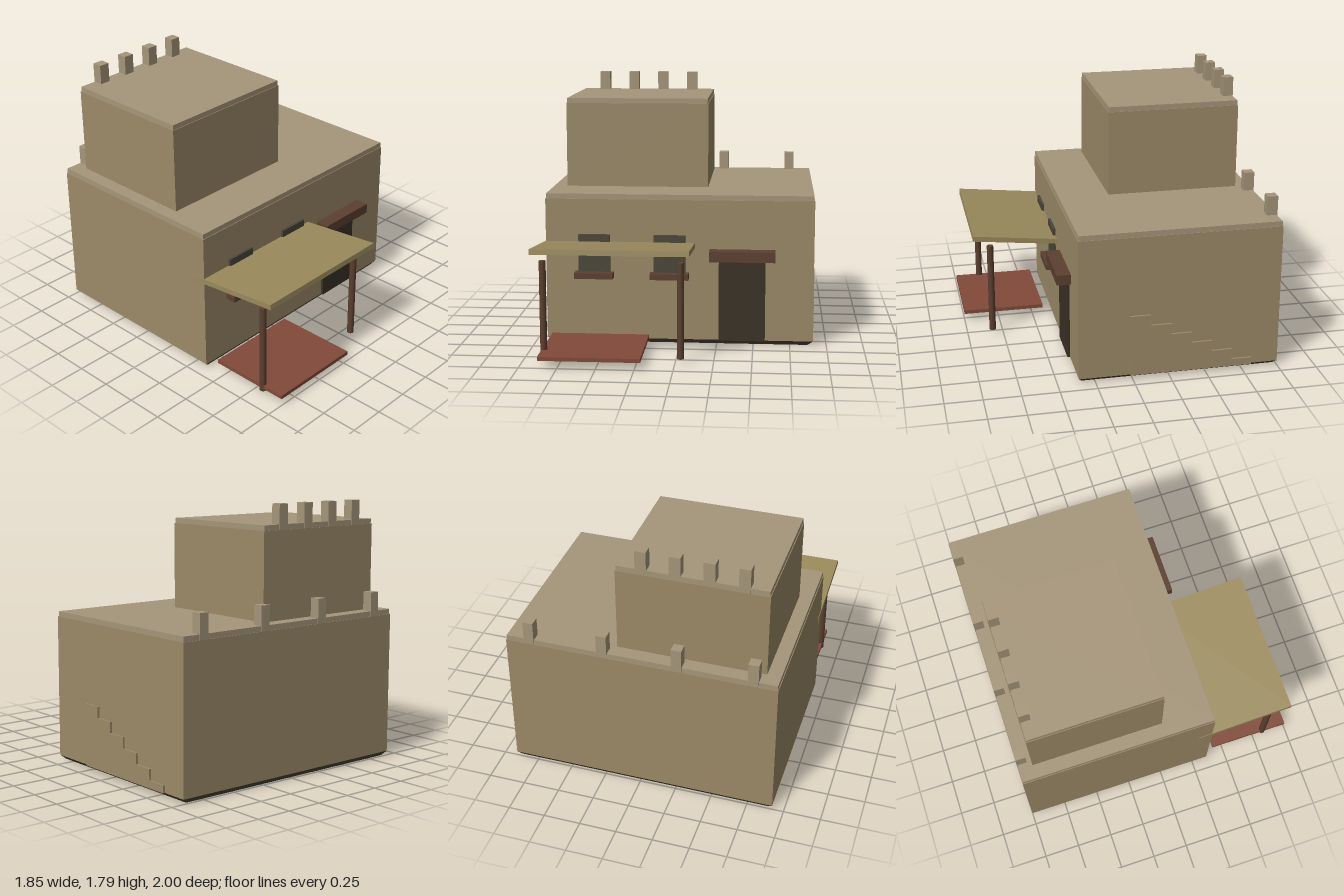
import * as THREE from 'three';

const mat = (color) => new THREE.MeshStandardMaterial({ color });

export function createModel() {
  const house = new THREE.Group();
  house.name = 'house';

  const plaster = mat(0x9c8a68), trim = mat(0xa6967a), thatch = mat(0x9a8a5c);
  const wood = mat(0x5c4030), doorWood = mat(0x3b3226), glass = mat(0x4b4638);
  const clay = mat(0x824a3a), stone = mat(0x4b4434);

  const add = (name, geometry, material, x, y, z) => {
    const mesh = new THREE.Mesh(geometry, material);
    mesh.name = name;
    mesh.position.set(x, y, z);
    house.add(mesh);
    return mesh;
  };
  // box given by its extents along each axis
  const box = (name, material, [x0, x1], [y0, y1], [z0, z1]) =>
    add(name, new THREE.BoxGeometry(x1 - x0, y1 - y0, z1 - z0), material,
      (x0 + x1) / 2, (y0 + y1) / 2, (z0 + z1) / 2);

  // foundation, tapering inwards towards the ground
  const foundation = new THREE.BoxGeometry(1.83, 0.03, 1.36);
  const p = foundation.attributes.position;
  for (let i = 0; i < p.count; i++) {
    if (p.getY(i) < 0) p.setXYZ(i, p.getX(i) * 0.96, p.getY(i), p.getZ(i) * 0.97);
  }
  foundation.computeVertexNormals();
  add('foundation', foundation, stone, -0.007, 0.015, -0.32);

  // two storeys, each with a roof slab
  box('lowerStorey', plaster, [-0.922, 0.908], [0.03, 1.0], [-1, 0.36]);
  box('lowerRoof', trim, [-0.917, 0.903], [0.99, 1.035], [-0.995, 0.355]);
  box('upperStorey', plaster, [-0.825, 0.17], [1.03, 1.62], [-0.9, 0.01]);
  box('upperRoof', trim, [-0.82, 0.165], [1.61, 1.655], [-0.895, 0.005]);

  // merlons along the rear roof edges
  for (let i = 0; i < 4; i++) {
    const a = -0.76 + i * 0.502, b = -0.662 + i * 0.221;
    box('lowerMerlon', trim, [a - 0.035, a + 0.035], [1.0, 1.165], [-1, -0.93]);
    box('upperMerlon', trim, [b - 0.037, b + 0.037], [1.62, 1.787], [-0.9, -0.83]);
  }

  // windows with sills
  for (const x of [-0.588, -0.073]) {
    box('window', glass, [x - 0.108, x + 0.108], [0.5, 0.758], [0.35, 0.378]);
    box('windowSill', wood, [x - 0.132, x + 0.132], [0.46, 0.5], [0.35, 0.435]);
  }

  // door and lintel
  box('door', doorWood, [0.263, 0.58], [0.03, 0.585], [0.35, 0.378]);
  box('lintel', wood, [0.2, 0.645], [0.595, 0.665], [0.355, 0.455]);

  // sloping awning on two round posts, and the mat beneath
  const awning = add('awning', new THREE.BoxGeometry(1.025, 0.036, 0.686), thatch, -0.413, 0.715, 0.603);
  awning.rotation.x = -0.107;
  for (const x of [-0.863, 0.036]) {
    add('awningPost', new THREE.CylinderGeometry(0.023, 0.023, 0.64, 8), wood, x, 0.35, 0.824);
  }
  box('floorMat', clay, [-0.876, -0.21], [0.05, 0.076], [0.425, 1.0]);

  // shallow flight of stairs against the side wall
  const flight = new THREE.Shape();
  flight.moveTo(0.815, 0.03);
  for (let i = 0; i < 6; i++) {
    const y = 0.08 + i * 0.075;
    flight.lineTo(0.815 - i * 0.139, y);
    flight.lineTo(0.815 - (i + 1) * 0.139, y);
  }
  flight.lineTo(-0.019, 0.03);
  const stairs = add('stairs', new THREE.ExtrudeGeometry(flight, { depth: 0.03, bevelEnabled: false }),
    plaster, 0.893, 0, 0);
  stairs.rotation.y = Math.PI / 2;

  return house;
}
